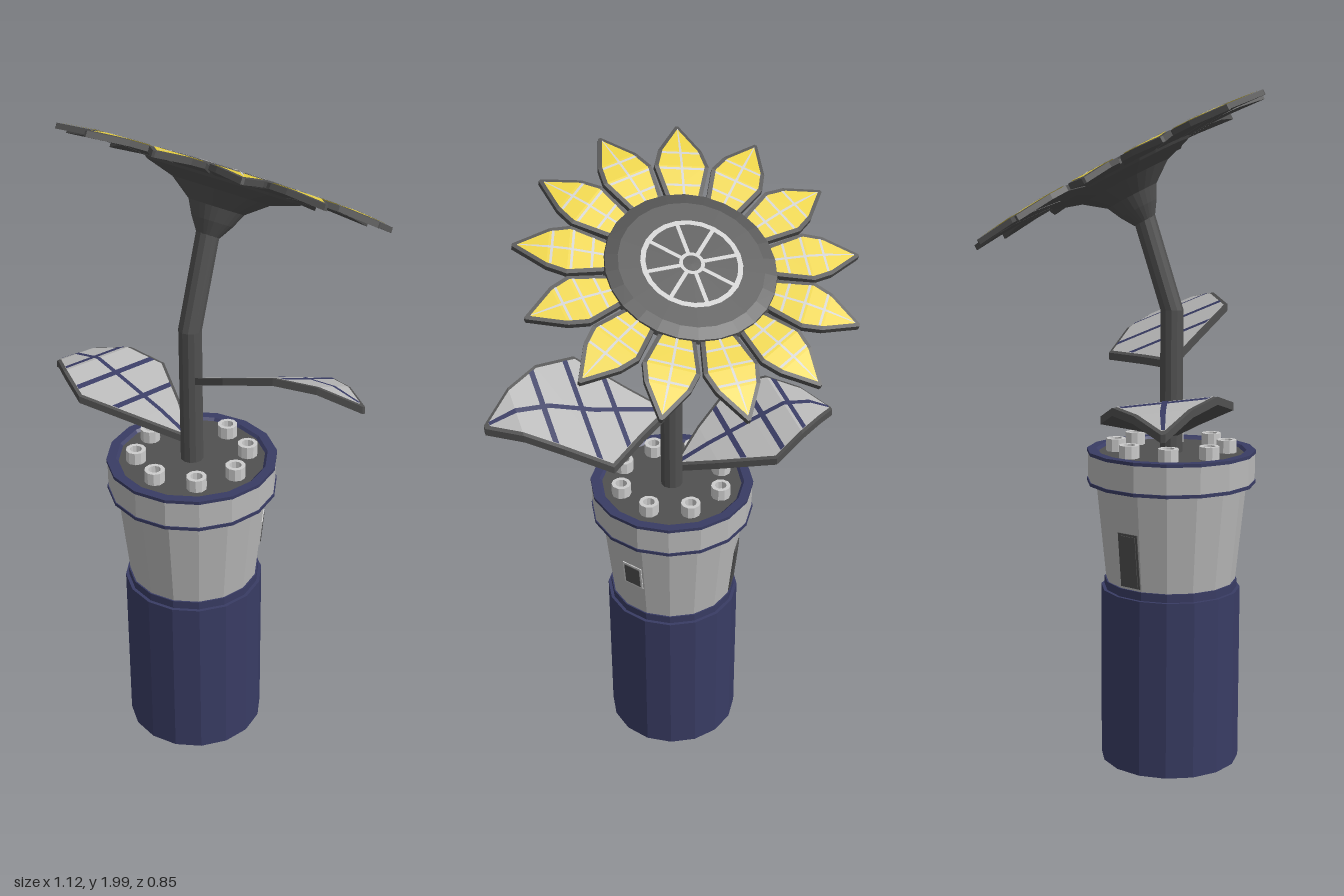
import * as THREE from 'three';

const mat = (color) => new THREE.MeshStandardMaterial({ color, flatShading: true, side: THREE.DoubleSide });
const pale = mat(0xcccccc), clay = mat(0xb8b8b8), dark = mat(0x505050), navy = mat(0x393c64), yellow = mat(0xe8d040);
const SIDES = 16;

function add(parent, name, geometry, material, x = 0, y = 0, z = 0) {
  const mesh = new THREE.Mesh(geometry, material);
  mesh.name = name;
  mesh.position.set(x, y, z);
  parent.add(mesh);
  return mesh;
}

function addGroup(parent, name, x = 0, y = 0, z = 0) {
  const group = new THREE.Group();
  group.name = name;
  group.position.set(x, y, z);
  parent.add(group);
  return group;
}

// Skin over a list of equal-length cross-sections
function loft(rings, closed) {
  const n = rings[0].length, index = [];
  for (let i = 0; i < rings.length - 1; i++) {
    for (let j = 0; j < (closed ? n : n - 1); j++) {
      const k = (j + 1) % n;
      const a = i * n + j, b = i * n + k, c = b + n, d = a + n;
      index.push(a, b, c, a, c, d);
    }
  }
  const g = new THREE.BufferGeometry().setFromPoints(rings.flat());
  g.setIndex(index);
  g.computeVertexNormals();
  return g;
}

const lathe = (profile, sides = SIDES) =>
  new THREE.LatheGeometry(profile.map(([r, y]) => new THREE.Vector2(r, y)), sides);

// Leaf-like slab along +x; stations are [x, y, z, halfWidth]
function blade(group, stations, o) {
  const last = stations.length - 1;
  const at = (t) => {
    const i = Math.min(Math.floor(t), last - 1), f = t - i;
    return stations[i].map((v, k) => v + (stations[i + 1][k] - v) * f);
  };
  const roll = o.roll || 0;
  const point = (t, side, lift) => {
    const [x, y, z] = at(t);
    return new THREE.Vector3(x, y + side * Math.sin(roll) + lift, z + side * Math.cos(roll));
  };
  // Body, closed to a point at both ends
  const ring = (t, s) => {
    const w = at(t)[3] * s, h = o.thick * s;
    return [point(t, -w, 0), point(t, w, 0), point(t, w, -h), point(t, -w, -h)];
  };
  const rings = stations.map((_, i) => ring(i, 1));
  add(group, 'body', loft([ring(0, 0), ...rings, ring(last, 0)], true), dark);

  // Thin strips laid on the upper face
  const strip = (name, t0, t1, half, lift, material) => {
    const ts = [t0];
    for (let i = Math.floor(t0) + 1; i < t1; i++) ts.push(i);
    ts.push(t1);
    const rows = ts.map((t) => {
      const w = half(Math.max(at(t)[3] - o.border, 0.001));
      return [point(t, -w, lift), point(t, w, lift)];
    });
    add(group, name, loft(rows, false), material);
  };
  strip('panel', 0.1, last - 0.15, (w) => w, 0.002, o.panel);
  strip('midrib', 0.1, last - 0.15, (w) => Math.min(w, o.vein / 2), 0.004, o.line);
  for (const t of o.cross) {
    const i = Math.floor(t);
    const dt = o.vein / (stations[i + 1][0] - stations[i][0]);
    strip('crossVein', t, t + dt, (w) => w, 0.004, o.line);
  }
}

function buildPot(parent) {
  const pot = addGroup(parent, 'pot');
  add(pot, 'base', new THREE.CylinderGeometry(0.21, 0.21, 0.535, SIDES), navy, 0, 0.2675);
  add(pot, 'lowerBand', new THREE.CylinderGeometry(0.2, 0.2, 0.025, SIDES), navy, 0, 0.5475);
  add(pot, 'wall', lathe([[0.195, 0.555], [0.226, 0.86]]), clay);
  add(pot, 'rim', lathe([[0.22, 0.862], [0.25, 0.862], [0.25, 0.95], [0.225, 0.95]]), clay);
  for (const y of [0.855, 0.945])
    add(pot, 'rimBand', lathe([[0.215, y], [0.253, y], [0.253, y + 0.01], [0.225, y + 0.01], [0.215, y]]), navy);
  add(pot, 'soil', new THREE.CylinderGeometry(0.228, 0.228, 0.02, SIDES), dark, 0, 0.937);

  // Hollow studs around the stem
  for (let i = 0; i < 8; i++) {
    const a = (i * Math.PI) / 4;
    add(pot, 'stud', lathe([[0.03, 0], [0.03, 0.04], [0.018, 0.04], [0.018, 0.015], [0, 0.015]], 10), pale,
      0.165 * Math.sin(a), 0.945, 0.165 * Math.cos(a));
  }

  // Window and door set on flat facets of the wall
  const opening = (name, angle, y, w, h, frame) => {
    const pivot = addGroup(pot, name);
    pivot.rotation.y = THREE.MathUtils.degToRad(angle);
    const r = (0.195 + (y - 0.555) * 0.1016) * Math.cos(Math.PI / SIDES);
    const holder = addGroup(pivot, name + 'Set', 0, y, r);
    holder.rotation.x = 0.1;
    add(holder, 'frame', new THREE.BoxGeometry(w, h, 0.006), frame);
    add(holder, 'pane', new THREE.BoxGeometry(w - 0.014, h - 0.014, 0.01), dark);
  };
  opening('window', 123.75, 0.71, 0.07, 0.085, pale);
  opening('door', -123.75, 0.65, 0.07, 0.165, dark);
}

function buildFlower(parent) {
  const flower = addGroup(parent, 'flower', 0, 1.78, -0.16);
  flower.rotation.x = THREE.MathUtils.degToRad(-27.6);
  add(flower, 'cup', lathe([[0.034, -0.17], [0.06, -0.13], [0.08, -0.09], [0.14, -0.045], [0.22, -0.02], [0.24, -0.004],
    [0.235, 0.01], [0.2, 0.017], [0, 0.017]], 26), dark);

  // Spoked wheel on the face
  const flat = (name, inner, outer) => {
    add(flower, name, new THREE.RingGeometry(inner, outer, 24), pale, 0, 0.02).rotation.x = -Math.PI / 2;
  };
  flat('outerRing', 0.126, 0.14);
  flat('innerRing', 0.025, 0.035);
  for (let i = 0; i < 8; i++) {
    const a = (i * Math.PI) / 4;
    add(flower, 'spoke', new THREE.BoxGeometry(0.098, 0.004, 0.011), pale,
      0.081 * Math.cos(a), 0.018, -0.081 * Math.sin(a)).rotation.y = a;
  }

  for (let i = 0; i < 13; i++) {
    const petal = addGroup(flower, 'petal');
    petal.rotation.y = Math.PI / 2 + (i * Math.PI * 2) / 13;
    blade(petal, [[0.19, 0, 0, 0.036], [0.24, 0.004, 0, 0.053], [0.33, 0.01, 0, 0.077], [0.385, 0.008, 0, 0.062],
      [0.48, -0.002, 0, 0.004]],
      { thick: 0.016, border: 0.012, vein: 0.007, panel: yellow, line: pale, cross: [1.25, 1.85, 2.75] });
  }
}

export function createModel() {
  const root = new THREE.Group();
  root.name = 'pottedFlower';
  const plant = addGroup(root, 'plant', -0.02, 0, 0.16);
  buildPot(plant);

  // Stem bends back towards the flower
  const stemRing = ([y, z]) => Array.from({ length: 12 }, (_, i) => {
    const a = (i * Math.PI) / 6;
    return new THREE.Vector3(0.034 * Math.cos(a), y, z - 0.034 * Math.sin(a));
  });
  add(plant, 'stem', loft([[0.94, 0], [1.37, 0], [1.67, -0.092]].map(stemRing), true), dark);
  buildFlower(plant);

  const leafStyle = { thick: 0.022, border: 0.012, vein: 0.016, panel: clay, line: navy, cross: [1.4, 2.2, 3.1] };
  const leftLeaf = addGroup(plant, 'leftLeaf', 0, 1.22, 0);
  blade(leftLeaf, [[0.02, 0, 0, 0.012], [0.12, 0.03, -0.01, 0.09], [0.25, 0.07, -0.025, 0.2], [0.38, 0.115, -0.025, 0.15],
    [0.48, 0.122, -0.025, 0.085], [0.575, 0.095, -0.03, 0.006]], { ...leafStyle, roll: 0.4 });
  const rightLeaf = addGroup(plant, 'rightLeaf', 0, 1.015, 0);
  rightLeaf.rotation.y = Math.PI;
  blade(rightLeaf, [[0.02, 0, 0, 0.012], [0.12, 0.045, 0, 0.09], [0.27, 0.1, 0, 0.187], [0.37, 0.135, 0, 0.145],
    [0.46, 0.12, 0, 0.08], [0.54, 0.075, -0.005, 0.006]], { ...leafStyle, roll: -0.12 });

  return root;
}
